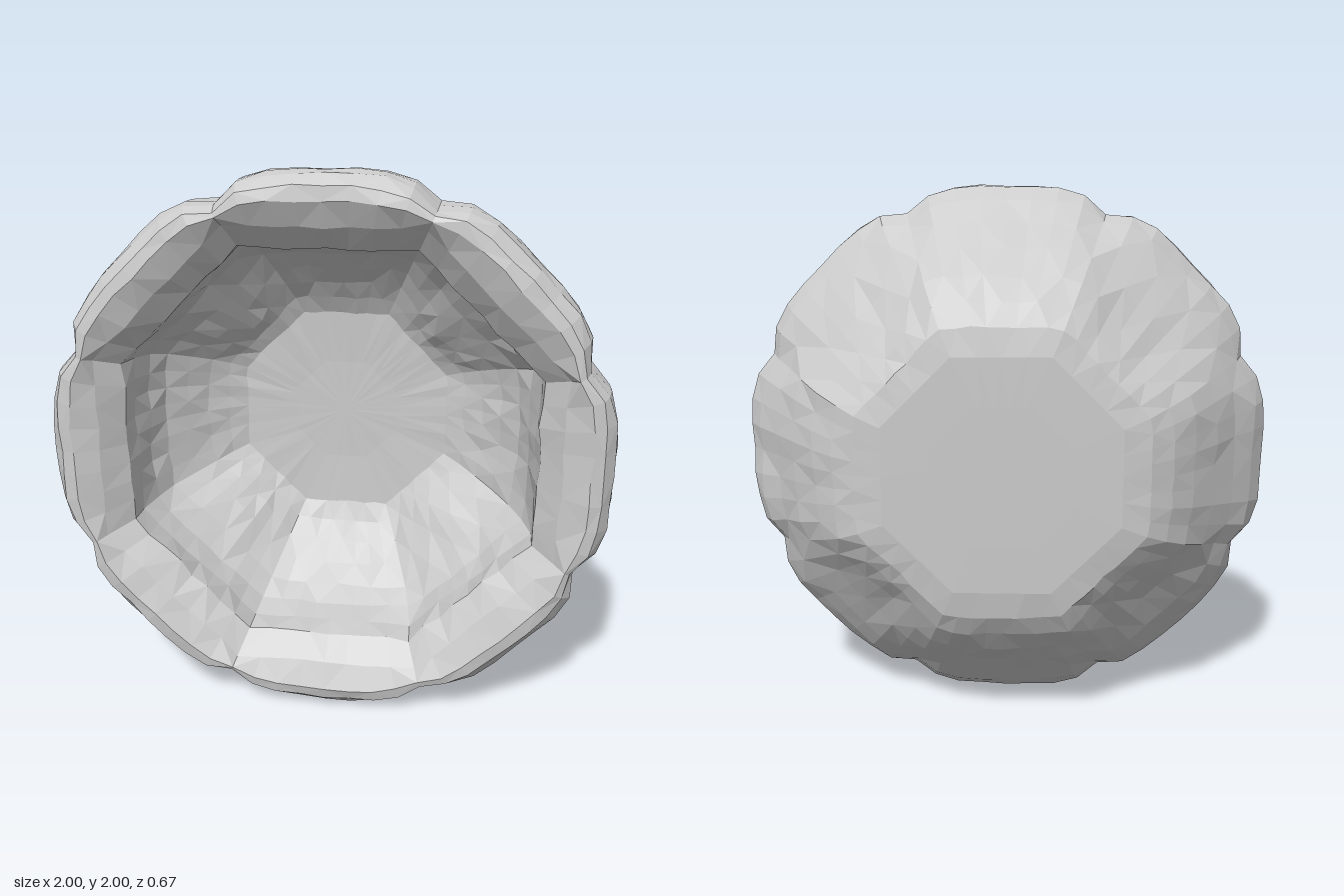
import * as THREE from 'three';

const LOBES = 8, PER_LOBE = 8, SEGS = LOBES * PER_LOBE;

// Ring profile from the back centre, over the scalloped rim, to the inner floor:
// [octagon apothem, depth of the notch between lobes, z, unevenness, tuck of the diagonal lobes]
const outside = [
  [0, 0, -0.335, 0, 0], [0.25, 0, -0.335, 0, 0], [0.42, 0, -0.333, 0, 0], [0.52, 0.01, -0.315, 0.004, 0.01],
  [0.6, 0.02, -0.27, 0.007, 0.03], [0.685, 0.03, -0.2, 0.008, 0.045], [0.775, 0.045, -0.1, 0.008, 0.03],
  [0.865, 0.065, 0, 0.008, 0], [0.945, 0.09, 0.08, 0.008, 0], [0.995, 0.11, 0.15, 0.005, 0],
  [1, 0.12, 0.22, 0.004, 0], [0.99, 0.118, 0.275, 0.005, 0],
];
const rim = [
  [0.955, 0.095, 0.32, 0.006, 0], [0.91, 0.065, 0.33, 0.005, 0], [0.82, 0, 0.29, 0.006, 0],
];
const inside = [
  [0.74, 0, 0.215, 0.008, 0], [0.735, 0, 0.12, 0.008, 0], [0.715, 0.01, 0.03, 0.008, 0],
  [0.675, 0.02, -0.05, 0.008, 0.03], [0.61, 0.025, -0.12, 0.008, 0.05],
  [0.54, 0.02, -0.18, 0.008, 0.045], [0.47, 0.01, -0.23, 0.006, 0.02],
  [0.4, 0, -0.265, 0.004, 0], [0.2, 0, -0.275, 0.001, 0], [0, 0, -0.275, 0, 0],
];

// Repeatable noise in -1..1
function noise(i, j) {
  const s = Math.sin(i * 127.1 + j * 311.7) * 43758.5453;
  return (s - Math.floor(s)) * 2 - 1;
}

// Skin a list of rings with flat facets
function skinRings(rings, firstRing) {
  const positions = [], index = [];
  rings.forEach(([apothem, notch, z, rough, tuck], i) => {
    for (let j = 0; j < SEGS; j++) {
      const angle = (j / SEGS) * Math.PI * 2;
      const lobe = Math.floor((j + PER_LOBE / 2) / PER_LOBE);
      const step = j - lobe * PER_LOBE;
      const d = (step / SEGS) * Math.PI * 2;
      const t = Math.abs(step) / (PER_LOBE / 2);
      const r = apothem / Math.cos(d) - notch * t ** 4
        - (lobe % 2) * tuck * (1 - t * t) + rough * noise(firstRing + i, j);
      const dz = rough * 0.6 * noise(j, firstRing + i + 50);
      positions.push(Math.cos(angle) * r, 1 + Math.sin(angle) * r, z + dz);
    }
  });
  for (let i = 0; i < rings.length - 1; i++) {
    for (let j = 0; j < SEGS; j++) {
      const k = (j + 1) % SEGS;
      const a = i * SEGS + j, b = i * SEGS + k, c = a + SEGS, e = b + SEGS;
      // Alternate the diagonals for irregular facets
      if ((i + j) % 2) index.push(a, b, c, b, e, c);
      else index.push(a, b, e, a, e, c);
    }
  }
  const geometry = new THREE.BufferGeometry();
  geometry.setAttribute('position', new THREE.Float32BufferAttribute(positions, 3));
  geometry.setIndex(index);
  const flat = geometry.toNonIndexed();
  flat.computeVertexNormals();
  return flat;
}

export function createModel() {
  const group = new THREE.Group();
  group.name = 'scallopedBowl';
  const material = new THREE.MeshStandardMaterial({ color: 0xcccccc, flatShading: true });
  const add = (name, rings, firstRing) => {
    const mesh = new THREE.Mesh(skinRings(rings, firstRing), material);
    mesh.name = name;
    group.add(mesh);
  };

  // Neighbouring parts share their boundary ring
  add('outerShell', outside, 0);
  add('scallopedRim', [outside.at(-1), ...rim], outside.length - 1);
  add('innerBowl', [rim.at(-1), ...inside], outside.length + rim.length - 1);
  return group;
}
